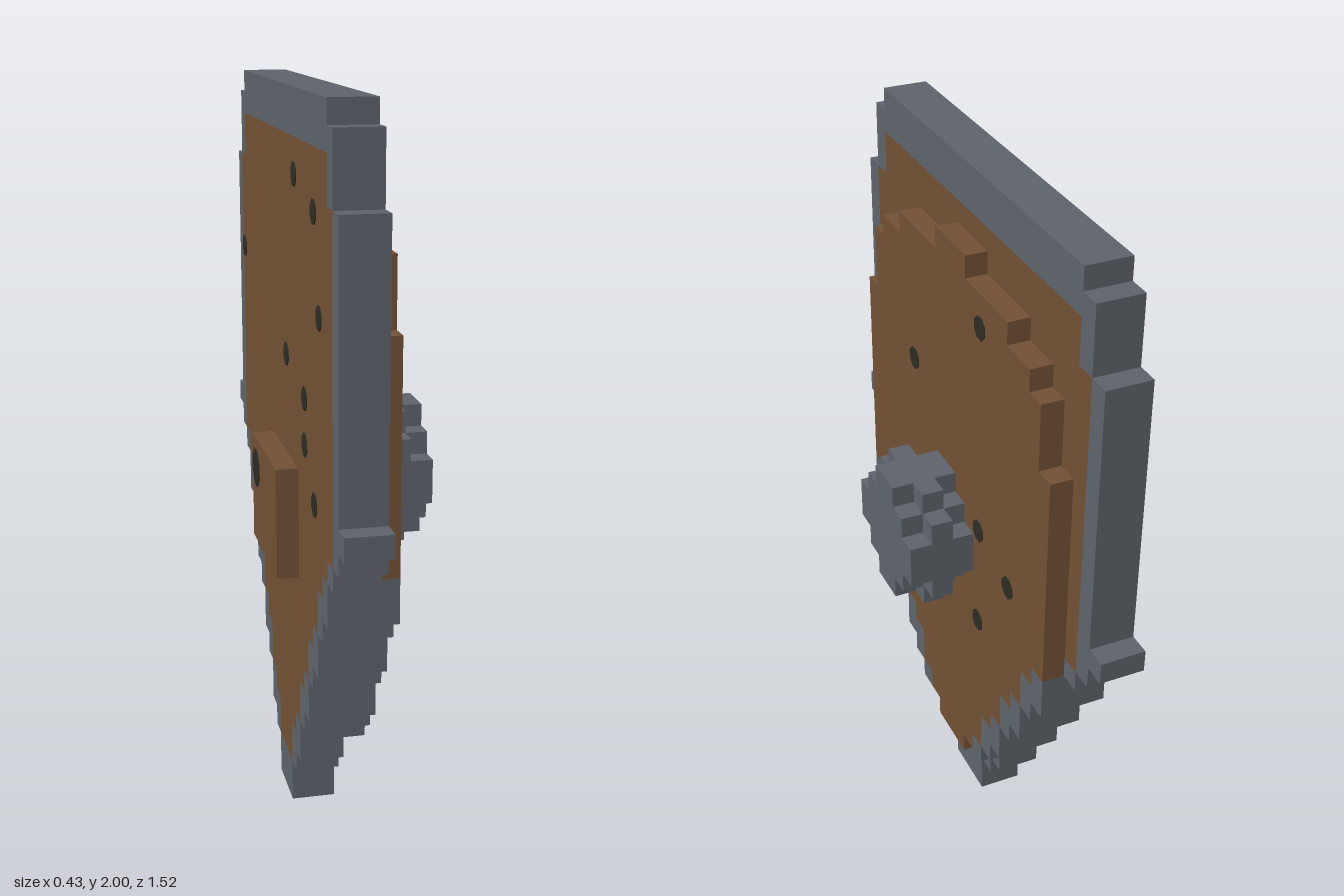
import * as THREE from 'three';

const V = 2 / 33; // size of one block; all lengths below are in blocks

// half widths of the shield by row, bottom to top
const OUTER = [1.5, 1.5, 2.5, 3.5, 3.5, 4.5, 5.5, 5.5, 6.5, 7.5, 7.5, 8.5, 9.5, 9.5, 10.5, 11.5, 12.5,
  ...Array(12).fill(11.5), 10.5, 10.5, 10.5, 9.5];
// half widths of the wooden field inside the metal rim
const WOOD = [0, 0, 1.5, 1.5, 2.5, 3.5, 3.5, 4.5, 5.5, 5.5, 6.5, 7.5, 7.5, 8.5, 9.5,
  ...Array(14).fill(10.5), 9.5, 9.5, 0, 0];
// half widths of the raised front layer, an oval cut off by the shield outline
const OVAL = OUTER.map((w, r) => {
  const d = Math.abs(r - 16);
  if (d > 13) return 0;
  return Math.min(w, d === 13 ? 1.5 : d === 12 ? 5.5 : d === 11 ? 7.5 : d >= 8 ? 8.5 : 9.5);
});

export function createModel() {
  const model = new THREE.Group();
  const material = (name, color) => {
    const m = new THREE.MeshStandardMaterial({ color });
    m.name = name;
    return m;
  };
  const metal = material('grey metal', 0x5e636b);
  const wood = material('brown wood', 0x725034);
  const dark = material('dark knot', 0x2d2d23);

  const group = (name) => {
    const g = new THREE.Group();
    g.name = name;
    model.add(g);
    return g;
  };
  const add = (parent, geometry, mat, name) => {
    const mesh = new THREE.Mesh(geometry, mat);
    mesh.name = name;
    parent.add(mesh);
    return mesh;
  };

  // box between block coordinates
  function box(parent, mat, name, [x0, x1], [y0, y1], [z0, z1]) {
    const g = new THREE.BoxGeometry((x1 - x0) * V, (y1 - y0) * V, (z1 - z0) * V);
    g.translate((x0 + x1) / 2 * V, (y0 + y1) / 2 * V, (z0 + z1) / 2 * V);
    return add(parent, g, mat, name);
  }

  // symmetric stepped plate from half widths per row
  function steppedPlate(parent, mat, name, halves, [x0, x1], zMid = 0, row0 = 0) {
    const right = [];
    halves.forEach((h, r) => {
      if (h <= 0) return;
      if (halves[r - 1] !== h) right.push([h, r + row0]);
      if (halves[r + 1] !== h) right.push([h, r + row0 + 1]);
    });
    const left = right.map(([h, y]) => [-h, y]).reverse();
    const shape = new THREE.Shape([...right, ...left].map(([u, y]) => new THREE.Vector2(u * V, y * V)));
    const g = new THREE.ExtrudeGeometry(shape, { depth: (x1 - x0) * V, bevelEnabled: false });
    g.rotateY(Math.PI / 2);
    g.translate(x0 * V, 0, zMid * V);
    return add(parent, g, mat, name);
  }

  // metal border between two outlines, in runs of equal rows
  function border(parent, name, inner, outer, x) {
    for (let r = 0; r < outer.length;) {
      let end = r + 1;
      while (end < outer.length && inner[end] === inner[r] && outer[end] === outer[r]) end++;
      const [a, b] = [inner[r], outer[r]];
      if (b > a) {
        if (a === 0) box(parent, metal, name, x, [r, end], [-b, b]);
        else for (const z of [[a, b], [-b, -a]]) box(parent, metal, name, x, [r, end], z);
      }
      r = end;
    }
  }

  // main board with rim
  const board = group('shieldBoard');
  steppedPlate(board, wood, 'woodField', WOOD, [-2.5, -0.5]);
  border(board, 'rim', WOOD, OUTER, [-2.5, -0.5]);

  // raised front layer, edged with metal where it meets the rim
  const raised = group('raisedFrontLayer');
  steppedPlate(raised, wood, 'raisedWood', OVAL.map((w, r) => Math.min(w, WOOD[r])), [-0.5, 0.5]);
  border(raised, 'raisedRim', OVAL.map((w, r) => Math.min(w, WOOD[r])), OVAL, [-0.5, 0.5]);

  // rounded central boss, widest in the middle layer
  const boss = group('boss');
  const narrow = [1, 2, 3, 3, 2, 1];
  const wide = [2, 3, 3, 3, 3, 2];
  [narrow, wide, narrow].forEach((rows, i) =>
    steppedPlate(boss, metal, 'bossLayer', rows, [0.5 + i, 1.5 + i], 0.5, 13));

  // hand grip on the back
  box(model, wood, 'grip', [-3.5, -2.5], [12, 17], [-2.5, 3.5]);

  // dark knots as thin eight-sided plates: [z, row]
  const knots = group('knots');
  function knot(x, y, z, radius, alongZ) {
    const g = new THREE.CylinderGeometry(radius, radius, 0.006, 8);
    g.rotateY(Math.PI / 8);
    if (alongZ) g.rotateX(Math.PI / 2);
    else g.rotateZ(Math.PI / 2);
    g.translate(x * V, y * V, z * V);
    add(knots, g, dark, 'knot');
  }
  const front = [[-3, 27], [4, 22], [-3, 17], [-6, 16], [4, 11], [1, 12], [-3, 12]];
  const back = [[3, 29], [7, 28], [8, 24], [1, 21], [5, 20], [5, 18], [7, 16], [-10, 24]];
  for (const [z, r] of front) knot(0.5, r + 0.5, z, 0.032);
  for (const [z, r] of back) knot(-2.5, r + 0.5, z, 0.032);
  knot(-3.5, 15.6, -1.5, 0.055);
  knot(-3, 15.6, -2.5, 0.03, true);

  return model;
}
